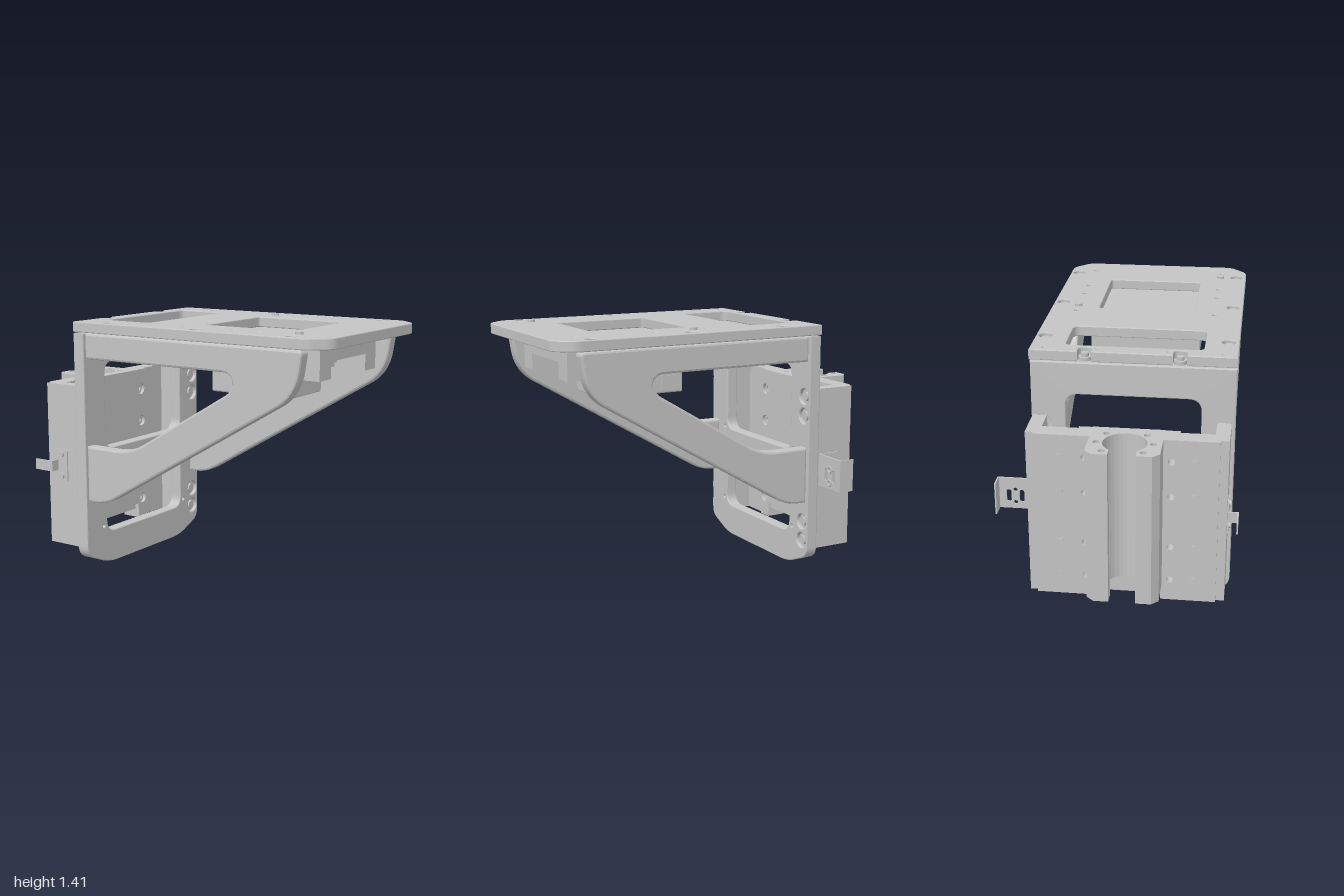
import * as THREE from 'three';

const metal = new THREE.MeshStandardMaterial({ color: 0xc4c4c4 });
metal.name = 'grey metal';

// Closed path through [x, y, radius] corners, each rounded by its radius
function trace(path, pts) {
  const n = pts.length;
  const toward = (a, b, d) => {
    const l = Math.hypot(b[0] - a[0], b[1] - a[1]);
    return [a[0] + (b[0] - a[0]) * d / l, a[1] + (b[1] - a[1]) * d / l];
  };
  pts.forEach((p, i) => {
    const r = p[2] || 0;
    const a = r ? toward(p, pts[(i + n - 1) % n], r) : p;
    if (i === 0) path.moveTo(a[0], a[1]); else path.lineTo(a[0], a[1]);
    if (r) {
      const b = toward(p, pts[(i + 1) % n], r);
      path.quadraticCurveTo(p[0], p[1], b[0], b[1]);
    }
  });
  path.closePath();
  return path;
}
const rect = (x0, y0, x1, y1, r = 0) => [[x0, y0, r], [x1, y0, r], [x1, y1, r], [x0, y1, r]];
const circle = (x, y, r) => new THREE.Path().absarc(x, y, r, 0, Math.PI * 2, true);

// Points put in counter-clockwise order, so that outline and holes face the right way
function ordered(pts) {
  const area = THREE.ShapeUtils.area(pts.map(p => ({ x: p[0], y: p[1] })));
  return area < 0 ? pts.reverse() : pts;
}

// Extrusion from lo to hi along an axis; outlines are (x,z) for y, (z,y) for x, (x,y) for z
function slab(axis, lo, hi, pts, { holes = [], rounds = [], bevel = 0 } = {}) {
  const map = axis === 'y' ? p => [p[0], -p[1], p[2]] : axis === 'x' ? p => [-p[0], p[1], p[2]] : p => p;
  const shape = trace(new THREE.Shape(), ordered(pts.map(map)));
  holes.forEach(h => shape.holes.push(trace(new THREE.Path(), ordered(h.map(map)).reverse())));
  rounds.forEach(c => shape.holes.push(circle(...map(c))));
  const g = new THREE.ExtrudeGeometry(shape, {
    depth: hi - lo - 2 * bevel, curveSegments: 10, bevelEnabled: bevel > 0,
    bevelThickness: bevel, bevelSize: bevel, bevelOffset: -bevel, bevelSegments: 2,
  });
  g.translate(0, 0, lo + bevel);
  if (axis === 'y') g.rotateX(-Math.PI / 2);
  if (axis === 'x') g.rotateY(Math.PI / 2);
  return g;
}

export function createModel() {
  const model = new THREE.Group();
  const add = (name, geometry) => {
    const m = new THREE.Mesh(geometry, metal);
    m.name = name;
    model.add(m);
  };
  const box = (name, x0, x1, y0, y1, z0, z1) => add(name,
    new THREE.BoxGeometry(x1 - x0, y1 - y0, z1 - z0).translate((x0 + x1) / 2, (y0 + y1) / 2, (z0 + z1) / 2));
  const pin = (name, axis, x, y, z, r, h) => {
    const g = new THREE.CylinderGeometry(r, r, h, 20);
    if (axis === 'x') g.rotateZ(Math.PI / 2);
    if (axis === 'z') g.rotateX(Math.PI / 2);
    add(name, g.translate(x, y, z));
  };

  // Top plate with rear window, recess, rear slots and screw holes
  const topScrews = [], topHoles = [];
  for (const z of [-0.405, 0.55]) for (const x of [-0.34, 0.225, 0.795]) topScrews.push([x, z, 0.036]);
  for (const z of [-0.31, 0.455]) for (const x of [0.085, 0.39, 0.545, 0.85]) topHoles.push([x, z, 0.014]);
  for (const z of [-0.385, -0.11, 0.255, 0.53]) topHoles.push([-0.515, z, 0.009]);
  const slot = z => [[-0.56, z + 0.035], [-0.493, z + 0.035, 0.03], [-0.493, z - 0.035, 0.03], [-0.56, z - 0.035]];
  add('topPlate', slab('y', 1.34, 1.397, [
    [-0.56, -0.455], [0.9, -0.455, 0.04], [1, -0.365, 0.04], [1, 0.515, 0.04], [0.9, 0.605, 0.04], [-0.56, 0.605],
    ...slot(0.315), ...slot(-0.17),
  ], {
    holes: [rect(-0.47, -0.28, -0.18, 0.43, 0.04), rect(0.135, -0.19, 0.67, 0.34, 0.02)],
    rounds: [...topScrews, ...topHoles], bevel: 0.005,
  }));
  for (const [x, z, r] of topScrews) {
    pin('topScrewSeat', 'y', x, 1.357, z, r, 0.03);
    pin('topScrew', 'y', x, 1.37, z, 0.021, 0.03);
  }
  for (const z of [-0.17, 0.315]) {
    pin('rearSlotSeat', 'y', -0.526, 1.351, z, 0.033, 0.02);
    pin('rearSlotScrew', 'y', -0.527, 1.365, z, 0.02, 0.03);
  }
  pin('locatingPin', 'y', 0.165, 1.387, -0.31, 0.021, 0.046);
  pin('locatingPin', 'y', 0.775, 1.387, 0.455, 0.021, 0.046);

  // Upright back plate with two windows
  const backScrews = [];
  for (const z of [-0.395, 0.555]) for (const y of [0.165, 0.275, 0.885, 0.995]) backScrews.push([z, y, 0.044]);
  const backDots = [];
  for (const z of [-0.3, 0.46]) for (const y of [0.225, 0.68]) backDots.push([z, y, 0.009]);
  add('backPlate', slab('x', -0.56, -0.49, [
    [-0.45, 1.335], [-0.45, 0.08, 0.05], [-0.26, 0, 0.07], [0.415, 0, 0.07], [0.605, 0.08, 0.05], [0.605, 1.335],
  ], {
    holes: [rect(-0.27, 0.185, 0.43, 0.53, 0.07), rect(-0.27, 0.67, 0.43, 1.16, 0.07)],
    rounds: [...backScrews, ...backDots], bevel: 0.006,
  }));
  for (const [z, y, r] of backScrews) {
    pin('backScrewSeat', 'x', -0.53, y, z, r, 0.035);
    pin('backScrew', 'x', -0.512, y, z, 0.026, 0.03);
  }

  // Pair of open triangular side brackets
  for (const z of [-0.437, 0.52]) {
    add('sideBracket', slab('z', z, z + 0.072, [
      [-0.49, 0.395], [-0.37, 0.395, 0.08], [0.835, 1.105, 0.12], [0.872, 1.335, 0.03], [-0.49, 1.335],
      [-0.49, 1.195], [0.47, 1.195, 0.07], [0.47, 1.105, 0.06], [-0.19, 0.71, 0.11], [-0.49, 0.71],
    ], { bevel: 0.012 }));
  }

  // Instrument housing hung beneath the top plate
  box('housingBody', 0.02, 0.68, 1.19, 1.34, -0.22, 0.38);
  add('housingEnd', slab('x', 0.68, 0.85, [
    [-0.22, 1.158], [-0.105, 1.158], [-0.105, 1.247], [0.265, 1.247], [0.265, 1.158], [0.38, 1.158], [0.38, 1.34], [-0.22, 1.34],
  ]));
  box('housingFlange', 0.02, 0.85, 1.32, 1.34, -0.29, 0.45);
  box('housingBasePlate', -0.12, 0.68, 1.17, 1.192, -0.08, 0.24);
  box('connectorLip', 0, 0.13, 1.152, 1.172, -0.08, 0.24);
  add('lowerModule', slab('x', 0.107, 0.6, rect(-0.082, 1.027, 0.242, 1.172, 0.012), { bevel: 0.006 }));
  for (const z of [-0.086, 0.242]) {
    for (let i = 0; i < 4; i++) box('moduleRib', 0.155 + i * 0.095, 0.24 + i * 0.095, 1.055, 1.125, z, z + 0.004);
  }

  // Rear carriage: two drilled walls, with arms reaching the back plate
  const boltRows = [0.24, 0.435, 0.725, 0.92];
  const walls = [
    { z0: -0.4, z1: -0.1, bolt: -0.14, arm: [-0.442, -0.368], pad: [-0.18, -0.1] },
    { z0: 0.25, z1: 0.54, bolt: 0.3, arm: [0.512, 0.585], pad: [0.25, 0.335] },
  ];
  for (const w of walls) {
    add('carriageWall', slab('x', -0.8, -0.705, rect(w.z0, 0.12, w.z1, 1.04),
      { rounds: boltRows.map(y => [w.bolt, y, 0.018]) }));
    add('carriagePad', slab('x', -0.705, -0.685, rect(w.pad[0], 0.12, w.pad[1], 1.04),
      { rounds: boltRows.map(y => [w.bolt, y, 0.032]) }));
    box('carriageArm', -0.78, -0.562, 0.12, 1.04, ...w.arm);
    for (const y of boltRows) pin('wallScrew', 'x', -0.8, y, w.bolt < 0 ? -0.27 : 0.42, 0.016, 0.008);
  }

  // Open clamp: a C-shaped section run vertically, with screw pockets in its ends
  const clamp = [
    [-1, -0.075], [-0.965, -0.112], [-0.68, -0.112], [-0.68, 0.258], [-0.965, 0.258], [-1, 0.222], [-1, 0.142], [-0.948, 0.142],
  ];
  for (let i = 0; i <= 24; i++) {
    const a = Math.PI * (0.8 - 1.6 * i / 24);
    clamp.push([-0.855 + 0.112 * Math.cos(a), 0.073 + 0.112 * Math.sin(a)]);
  }
  clamp.push([-0.948, 0.004], [-1, 0.004]);
  const pockets = [];
  for (const s of [-1, 1]) {
    for (const [x, d] of [[-0.957, 0.102], [-0.857, 0.142], [-0.755, 0.102]]) pockets.push([x, 0.073 + s * d, 0.018]);
  }
  add('clamp', slab('y', 0.21, 1.04, clamp, { rounds: pockets }));
  for (const [x, z, r] of pockets) pin('clampScrew', 'y', x, 0.625, z, r, 0.77);
  box('clampFoot', -0.735, -0.69, 0.18, 0.212, -0.075, 0.23);

  // Left sensor tab: foot, web and outer tongue
  box('sensorTabFoot', -0.72, -0.64, 0.49, 0.67, 0.585, 0.592);
  box('sensorTabWeb', -0.714, -0.706, 0.55, 0.61, 0.585, 0.64);
  box('sensorTabTongue', -0.83, -0.706, 0.55, 0.61, 0.635, 0.643);
  for (const y of [0.52, 0.645]) pin('sensorTabScrew', 'z', -0.68, y, 0.594, 0.017, 0.018);

  // Right sensor bracket: slotted plate with a return lip
  add('sensorBracketPlate', slab('x', -0.576, -0.568, rect(-0.64, 0.49, -0.44, 0.67), {
    holes: [-0.515, -0.585].map(z => rect(z - 0.013, 0.53, z + 0.013, 0.6, 0.012)),
    rounds: [[-0.55, 0.6, 0.012], [-0.55, 0.525, 0.012]],
  }));
  box('sensorBracketLip', -0.655, -0.568, 0.49, 0.67, -0.645, -0.637);
  box('sensorBracketFoot', -0.7, -0.568, 0.49, 0.67, -0.45, -0.442);
  for (const y of [0.525, 0.6]) {
    add('sensorBracketNut', new THREE.TorusGeometry(0.018, 0.006, 6, 6).rotateY(Math.PI / 2).translate(-0.565, y, -0.55));
    pin('sensorBracketScrew', 'z', -0.65, y + 0.02, -0.452, 0.017, 0.012);
  }

  return model;
}
